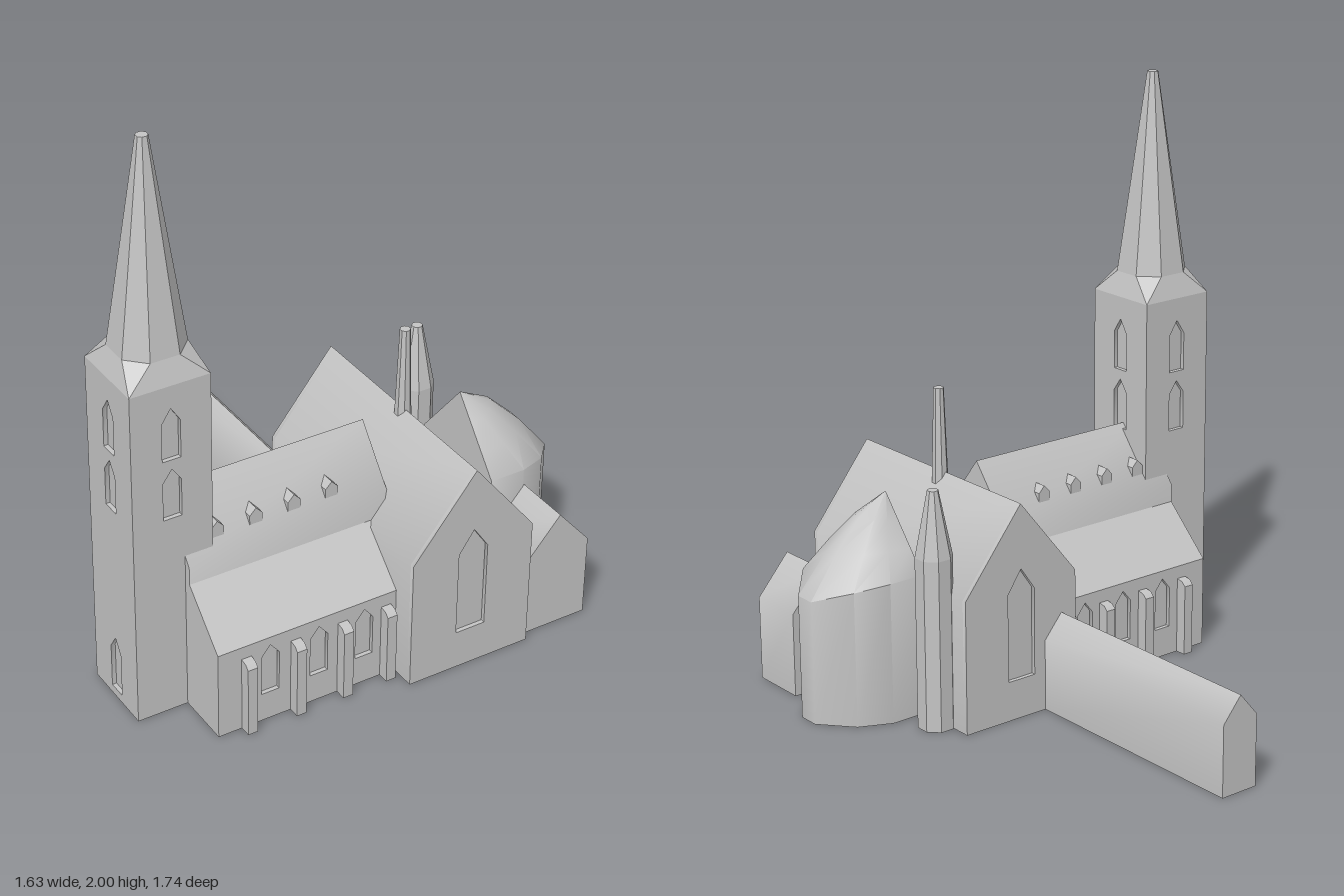
import * as THREE from 'three';
import { toCreasedNormals } from 'three/addons/utils/BufferGeometryUtils.js';

const D = 0.015;   // depth of window recesses
const ZC = 0.44;   // z of the nave axis

const poly = (pts) => new THREE.Shape(pts.map(([x, y]) => new THREE.Vector2(x, y)));

// Pointed house outline, also used for windows and dormers
const house = (cx, w, y0, eave, ridge) => [
  [cx - w / 2, y0], [cx + w / 2, y0], [cx + w / 2, eave], [cx, ridge], [cx - w / 2, eave],
];

// Extrude an outline, with optional window holes, along z
function slab(outline, depth, holes = []) {
  const s = poly(outline);
  holes.forEach((h) => s.holes.push(poly(h)));
  return new THREE.ExtrudeGeometry(s, { depth, bevelEnabled: false });
}

// Extrude a symmetric cross-section along x
const slabX = (outline, x0, x1) => slab(outline, x1 - x0).rotateY(Math.PI / 2).translate(x0, 0, 0);

// Skin closed rings (bottom to top) and cap both ends
function loft(rings) {
  const n = rings[0].length, pos = rings.flat(2), idx = [], top = (rings.length - 1) * n;
  for (let j = 0; j < rings.length - 1; j++) {
    for (let i = 0; i < n; i++) {
      const a = j * n + i, b = j * n + (i + 1) % n;
      idx.push(a, a + n, b, b, a + n, b + n);
    }
  }
  for (let i = 1; i < n - 1; i++) idx.push(0, i, i + 1, top, top + i + 1, top + i);
  const g = new THREE.BufferGeometry();
  g.setAttribute('position', new THREE.Float32BufferAttribute(pos, 3));
  g.setIndex(idx);
  return g;
}

export function createModel() {
  const root = new THREE.Group();
  const stone = new THREE.MeshStandardMaterial({ color: 0xc4c4c4 });
  stone.name = 'stone';

  const add = (name, geo, parent = root, crease = 0.72) => {
    const m = new THREE.Mesh(toCreasedNormals(geo, crease), stone);
    m.name = name;
    parent.add(m);
    return m;
  };
  const group = (name) => {
    const g = new THREE.Group();
    g.name = name;
    root.add(g);
    return g;
  };

  // West tower: core with four pierced wall plates
  const tower = group('tower');
  tower.position.set(-0.68, 0, ZC);
  const H = 0.14, TH = 1.22;
  add('towerCore', new THREE.BoxGeometry(2 * (H - D), TH, 2 * (H - D)).translate(0, TH / 2, 0), tower);
  const towerWindows = [house(0, 0.065, 0.74, 0.875, 0.92), house(0, 0.065, 0.955, 1.09, 1.14)];
  const door = house(0, 0.065, 0.03, 0.19, 0.24);
  for (let i = 0; i < 4; i++) {
    const w = i % 2 ? H - D : H;
    const holes = i === 3 ? [...towerWindows, door] : towerWindows;
    const wall = slab([[-w, 0], [w, 0], [w, TH], [-w, TH]], D, holes).translate(0, 0, H - D);
    add('towerWall', wall.rotateY(i * Math.PI / 2), tower);
  }

  // Broach spire: square base turning into an octagon
  const corners = [[2, 1], [1, 2], [-1, 2], [-2, 1], [-2, -1], [-1, -2], [1, -2], [2, -1]];
  const octagon = (r, y) => corners.map(([x, z]) =>
    [x * r * (Math.abs(x) === 2 ? 0.5 : 0.45), y, z * r * (Math.abs(z) === 2 ? 0.5 : 0.45)]);
  const square = corners.map(([x, z]) => [Math.sign(x) * H, TH, Math.sign(z) * H]);
  add('spire', loft([square, octagon(0.113, 1.3), octagon(0.018, 2)]), tower, 0.1);

  // Nave with clerestory, and aisles with lean-to roofs
  const nave = group('nave');
  nave.position.z = ZC;
  add('naveBody', slabX(house(0, 0.33, 0, 0.55, 0.757), -0.64, 0.1), nave);
  const A = 0.3375, P = 0.3;
  add('aisles', slabX([
    [-A + D, 0], [A - D, 0], [A - D, P], [A, P], [A, 0.32], [0.16, 0.49],
    [-0.16, 0.49], [-A, 0.32], [-A, P], [-A + D, P],
  ], -0.64, 0.03), nave);

  const aisleWindows = [-0.45, -0.27, -0.1].map((x) => house(x, 0.065, 0.105, 0.25, 0.29));
  const wallOutline = [[-0.64, 0], [0.03, 0], [0.03, P], [-0.64, P]];
  for (const side of [1, -1]) {
    const z0 = side > 0 ? A - D : -A;
    add('aisleWall', slab(wallOutline, D, aisleWindows).translate(0, 0, z0), nave);

    // Buttresses with weathered tops
    for (const x of [-0.537, -0.357, -0.182, -0.018]) {
      const profile = [[-A + 0.005, 0], [-A - 0.04, 0], [-A - 0.04, 0.255], [-A - 0.025, 0.27], [-A + 0.005, 0.275]];
      const g = slab(profile.reverse(), 0.036).rotateY(Math.PI / 2);
      if (side < 0) g.rotateY(Math.PI);
      add('buttress', g.translate(x - side * 0.018, 0, 0), nave);
    }

    // Roof dormers
    for (const x of [-0.515, -0.375, -0.235, -0.095]) {
      const g = slab(house(x, 0.046, 0.6, 0.633, 0.657), 0.065);
      add('dormer', g.translate(0, 0, side > 0 ? 0.06 : -0.125), nave);
    }
  }

  // Transept with a large window in each gable
  const transept = group('transept');
  const gable = house(0.25, 0.46, 0, 0.47, 0.757);
  const gableWindow = house(0.25, 0.11, 0.14, 0.45, 0.53);
  add('transeptBody', slab(gable, 0.86 - 2 * D).translate(0, 0, 0.01 + D), transept);
  for (const z of [0.01, 0.87 - D]) {
    add('gableWall', slab(gable, D, [gableWindow]).translate(0, 0, z), transept);
  }

  // Ridge turret over the crossing
  add('ridgeTurret', new THREE.CylinderGeometry(0.018, 0.03, 0.37, 8)
    .rotateY(Math.PI / 8).translate(0.255, 0.865, ZC), root, 0.1);

  // Stair turret: octagonal shaft and pointed cap
  const stair = group('stairTurret');
  stair.position.set(0.508, 0, 0.14);
  add('stairShaft', new THREE.CylinderGeometry(0.064, 0.064, 0.6, 8)
    .rotateY(Math.PI / 8).translate(0, 0.3, 0), stair, 0.1);
  add('stairCap', new THREE.CylinderGeometry(0.019, 0.064, 0.227, 8)
    .rotateY(Math.PI / 8).translate(0, 0.7135, 0), stair, 0.1);

  // Apse: rounded plan shrinking to the crown, with a flat west gable
  const half = [[0, -0.198, 0.24, 1], [0.13, -0.198, 0.24, 1.1], [0.24, -0.147, 0.26, 1.3], [0.335, -0.037, 0.3, 1.5]];
  const plan = [...half, ...half.map(([x, z, d, p]) => [x, -z, d, p]).reverse()];
  const ring = (s, ground) => plan.map(([x, z, drop, p]) =>
    [0.48 + x * s, ground ? 0 : 0.735 - drop * s ** p, ZC + z * s]);
  add('apse', loft([ring(1, true), ring(1), ring(0.68), ring(0.36), ring(0.01)]));

  // Sacristy and the long north passage
  add('sacristy', slab(house(0.615, 0.24, 0, 0.297, 0.435), 0.205).translate(0, 0, 0.635));
  add('passage', slab(house(0.08, 0.14, 0, 0.25, 0.333), 0.885).translate(0, 0, -0.87));

  return root;
}
